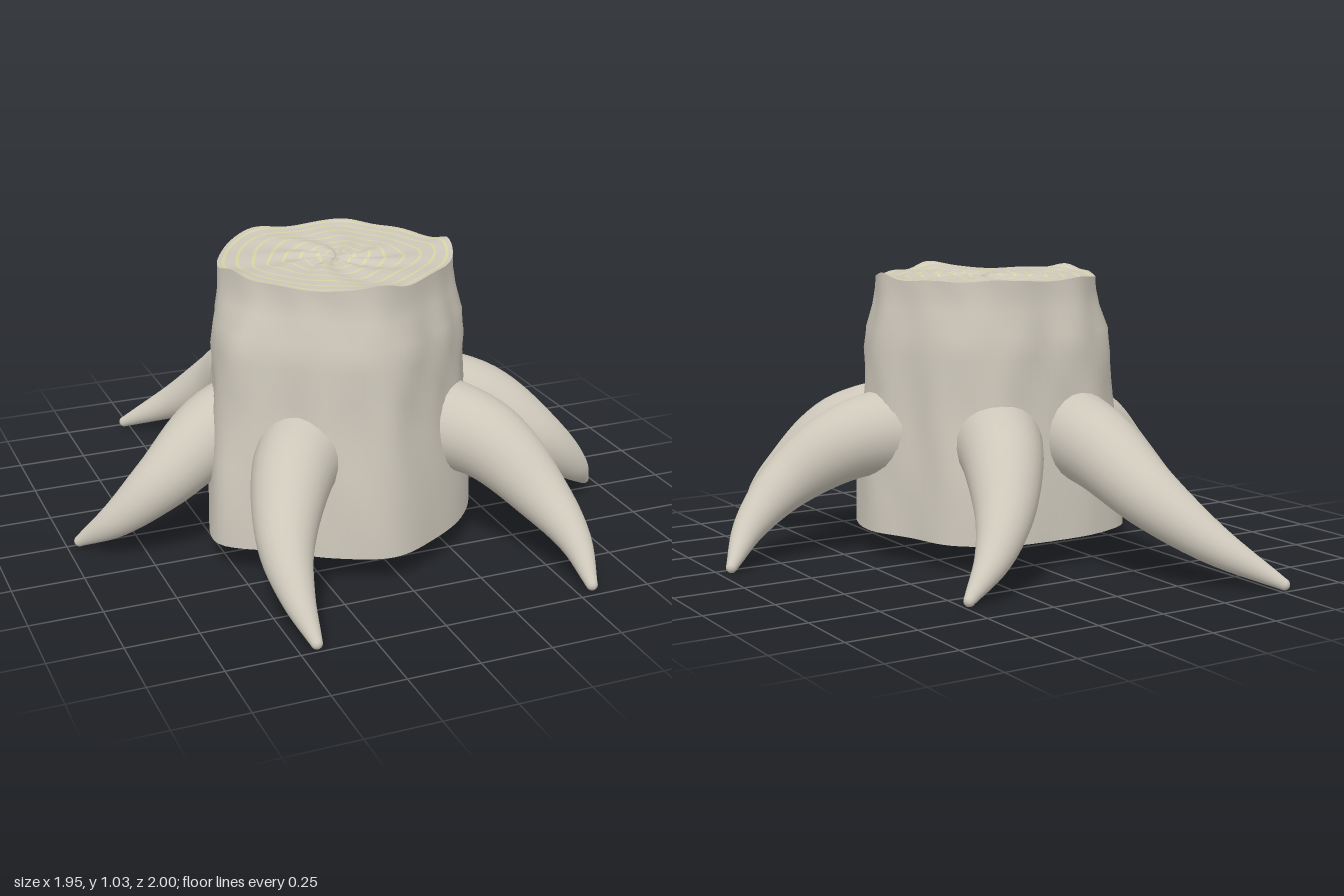
import * as THREE from 'three';

const wood = new THREE.MeshStandardMaterial({ color: 0xcdc7ba, side: THREE.DoubleSide });
wood.name = 'paleWood';
const ringWood = new THREE.MeshStandardMaterial({ color: 0xd5d4a2, side: THREE.DoubleSide });
ringWood.name = 'growthRing';

const COLS = 96;
const CENTRE = new THREE.Vector3(-0.04, 0, 0.15);

// Closed outline from radii spaced evenly around the trunk, starting at +x and turning to +z
function outline(radii) {
  return new THREE.CatmullRomCurve3(radii.map((r, i) => {
    const a = (i / radii.length) * Math.PI * 2;
    return new THREE.Vector3(Math.cos(a) * r, 0, Math.sin(a) * r);
  }), true);
}
const baseLine = outline([0.48, 0.48, 0.48, 0.49, 0.53, 0.5, 0.49, 0.56, 0.48, 0.44, 0.52, 0.5, 0.48, 0.5, 0.5, 0.45]);
const topLine = outline([0.42, 0.4, 0.38, 0.39, 0.43, 0.39, 0.38, 0.4, 0.42, 0.4, 0.41, 0.43, 0.4, 0.43, 0.41, 0.4]);

// Surface closed around the trunk; each row gets its own material group
function surface(rows, point, materialOf) {
  const geo = new THREE.BufferGeometry();
  const pos = [], index = [];
  for (let r = 0; r < rows; r++) {
    for (let c = 0; c < COLS; c++) pos.push(...point(r, c / COLS).toArray());
  }
  for (let r = 0; r < rows - 1; r++) {
    geo.addGroup(index.length, COLS * 6, materialOf(r));
    for (let c = 0; c < COLS; c++) {
      const a = r * COLS + c, d = r * COLS + ((c + 1) % COLS);
      index.push(a, d, a + COLS, d, d + COLS, a + COLS);
    }
  }
  geo.setAttribute('position', new THREE.Float32BufferAttribute(pos, 3));
  geo.setIndex(index);
  geo.computeVertexNormals();
  return geo;
}

// Uneven sawn edge with raised corners
function rimHeight(t) {
  const peak = (at, h, w) => {
    const d = Math.abs(((t - at + 1.5) % 1) - 0.5);
    return h * Math.exp(-((d / w) ** 2));
  };
  return 1.003 + 0.004 * Math.sin(t * 50) + peak(0, 0.022, 0.025) + peak(0.25, 0.025, 0.03)
    + peak(0.47, 0.026, 0.025) + peak(0.7, 0.012, 0.03) + peak(0.83, 0.012, 0.03);
}

// Height and how far the outline has spread from the top shape to the base shape
const PROFILE = [[1, 0], [0.96, 0.02], [0.9, 0.12], [0.82, 0.4], [0.74, 0.52], [0.62, 0.54],
  [0.5, 0.66], [0.38, 0.8], [0.24, 0.95], [0.1, 1]];

function trunkPoint(row, t) {
  const [h, spread] = PROFILE[row];
  const p = topLine.getPoint(t).lerp(baseLine.getPoint(t), spread);
  const ripple = Math.sin(t * Math.PI * 28 + 2.5 * Math.sin(h * 9)) * 0.014 * Math.sin(Math.PI * row / 9);
  p.multiplyScalar(1 + ripple).add(CENTRE);
  p.y = row === 0 ? rimHeight(t) : h;
  return p;
}

// Sawn face: narrow pale rings set in the wood
const capRadii = [0.001, 0.06];
const ringRows = new Set();
for (const f of [0.15, 0.29, 0.43, 0.57, 0.71, 0.84, 0.95]) {
  ringRows.add(capRadii.length);
  capRadii.push(f - 0.013, f + 0.013);
}
capRadii.push(1);

function capPoint(row, t) {
  const f = capRadii[row];
  const a = t * Math.PI * 2;
  const wobble = 0.018 * Math.sin(a * 5 + f * 9) * Math.sin(f * Math.PI);
  const p = topLine.getPoint(t).multiplyScalar(f + wobble).add(CENTRE);
  const swirl = 0.006 * Math.sin(a * 8 + f * 7) * Math.sin(Math.PI * Math.sqrt(f));
  p.y = THREE.MathUtils.lerp(1 + swirl, rimHeight(t), f ** 8);
  return p;
}

// Root: a curved tube tapering to a blunt tip, open where it enters the trunk
function makeRoot(name, points) {
  const group = new THREE.Group();
  group.name = name;
  const curve = new THREE.CatmullRomCurve3(points.map(p => new THREE.Vector3(...p)));
  const steps = 28, sides = 24;
  const geo = new THREE.TubeGeometry(curve, steps, 1, sides);
  const pos = geo.attributes.position, v = new THREE.Vector3();
  for (let i = 0; i < pos.count; i++) {
    const u = Math.floor(i / (sides + 1)) / steps;
    const c = curve.getPointAt(u);
    v.fromBufferAttribute(pos, i).sub(c).multiplyScalar(0.02 + 0.14 * (1 - u ** 1.5)).add(c);
    pos.setXYZ(i, v.x, v.y, v.z);
  }
  const tube = new THREE.Mesh(geo, wood);
  tube.name = 'rootBody';
  const tip = new THREE.Mesh(new THREE.SphereGeometry(0.02, 16, 10), wood);
  tip.name = 'rootTip';
  tip.position.copy(curve.getPoint(1));
  group.add(tube, tip);
  return group;
}

const ROOTS = {
  frontRightRoot: [[-0.2, 0.46, 0.36], [-0.35, 0.4, 0.54], [-0.45, 0.25, 0.74], [-0.46, 0.13, 0.87], [-0.44, 0.02, 0.98]],
  frontLeftRoot: [[0.2, 0.46, 0.36], [0.37, 0.4, 0.53], [0.5, 0.24, 0.71], [0.55, 0.13, 0.85], [0.555, 0.02, 0.965]],
  leftRoot: [[0.25, 0.47, 0.14], [0.48, 0.42, 0.23], [0.68, 0.28, 0.32], [0.84, 0.14, 0.3], [0.955, 0.02, 0.21]],
  rightRoot: [[-0.25, 0.47, 0.1], [-0.48, 0.42, 0.13], [-0.69, 0.28, 0.175], [-0.84, 0.14, 0.125], [-0.955, 0.02, 0.01]],
  backRightRoot: [[-0.17, 0.48, -0.14], [-0.175, 0.42, -0.4], [-0.22, 0.29, -0.63], [-0.34, 0.15, -0.82], [-0.52, 0.02, -0.98]],
  backLeftRoot: [[0.1, 0.47, -0.14], [0.18, 0.4, -0.33], [0.27, 0.25, -0.48], [0.36, 0.13, -0.555], [0.48, 0.02, -0.605]],
};

export function createModel() {
  const model = new THREE.Group();
  model.name = 'treeStump';

  const trunk = new THREE.Mesh(surface(PROFILE.length, trunkPoint, () => 0), [wood]);
  trunk.name = 'trunk';
  const cap = new THREE.Mesh(surface(capRadii.length, capPoint, r => (ringRows.has(r) ? 1 : 0)), [wood, ringWood]);
  cap.name = 'sawnTop';
  model.add(trunk, cap);

  for (const [name, points] of Object.entries(ROOTS)) model.add(makeRoot(name, points));
  return model;
}
